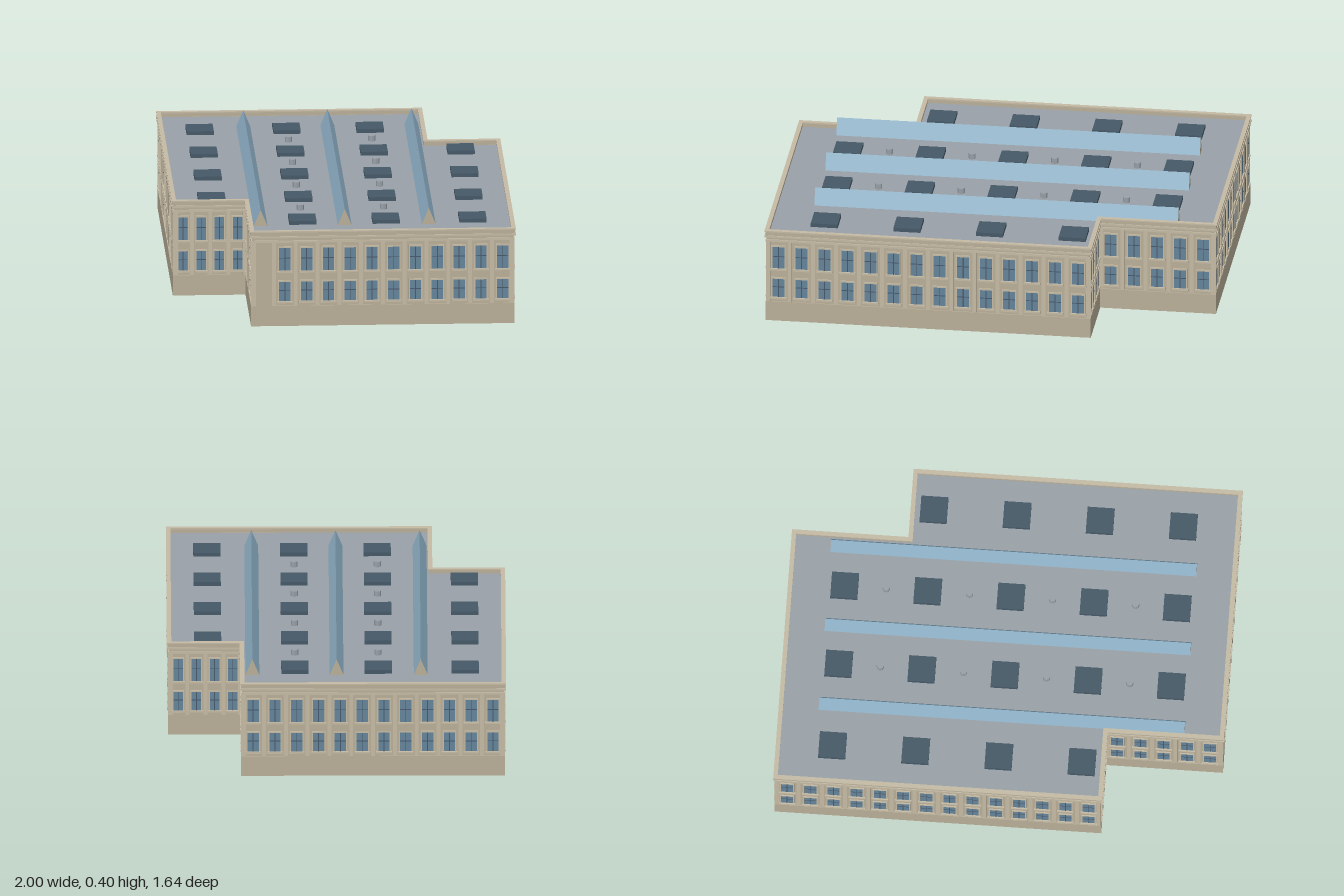
import * as THREE from 'three';
import { mergeGeometries } from 'three/addons/utils/BufferGeometryUtils.js';

const mat = (color) => new THREE.MeshStandardMaterial({ color, flatShading: true });
const stone = mat(0xb8ae98), trim = mat(0xc4baa4), roofMat = mat(0x98a0a7);
const glass = mat(0x64839a), bars = mat(0x46586a), ridgeMat = mat(0x8fb2c8), hatchMat = mat(0x455866);

// Footprint corners, pushed outward by d
const corners = [[-0.796, 0.602], [0.376, 0.602], [0.376, 0.34], [0.796, 0.34],
  [0.796, -0.602], [-0.376, -0.602], [-0.376, -0.34], [-0.796, -0.34]];
const outline = (d) => corners.map(([x, z]) =>
  new THREE.Vector2(x + Math.sign(x) * d, -(z + Math.sign(z) * d)));

// Horizontal slab, or a hollow ring when inner is given
function slab(name, material, d, y0, y1, inner) {
  const shape = new THREE.Shape(outline(d));
  if (inner !== undefined) shape.holes.push(new THREE.Path(outline(inner).reverse()));
  const geo = new THREE.ExtrudeGeometry(shape, { depth: y1 - y0, bevelEnabled: false });
  geo.rotateX(-Math.PI / 2).translate(0, y0, 0);
  const mesh = new THREE.Mesh(geo, material);
  mesh.name = name;
  return mesh;
}

const box = (x, y, z, w, h, d) => new THREE.BoxGeometry(w, h, d).translate(x, y, z);

// Windows, surrounds and pilasters for one wall running from p to q
function facade(p, q, bays, blank) {
  const g = new THREE.Group();
  g.name = 'facade';
  g.position.set(p[0], 0, p[1]);
  g.rotation.y = Math.atan2(p[1] - q[1], q[0] - p[0]);
  const length = Math.hypot(q[0] - p[0], q[1] - p[1]);
  const pitch = length / bays, w = pitch * 0.52;
  const parts = { windowGlass: [], glazingBars: [], stoneTrim: [] };
  for (let i = 0; i <= bays; i++) {
    const px = Math.min(Math.max(i * pitch, 0.007), length - 0.007);
    parts.stoneTrim.push(box(px, 0.193, 0.001, 0.014, 0.236, 0.006));
    if (i === bays || i === blank) continue;
    const x = (i + 0.5) * pitch;
    for (const [y0, y1] of [[0.093, 0.165], [0.206, 0.291]]) {
      const y = (y0 + y1) / 2, h = y1 - y0;
      parts.windowGlass.push(box(x, y, 0, w, h, 0.002));
      parts.glazingBars.push(box(x, y, 0.0005, 0.003, h, 0.003),
        box(x, y0 + h * 0.55, 0.0005, w, 0.003, 0.003));
      for (const s of [-1, 1]) parts.stoneTrim.push(box(x + s * (w / 2 + 0.002), y, 0.001, 0.004, h, 0.005));
      parts.stoneTrim.push(box(x, y0 - 0.004, 0.002, w + 0.016, 0.007, 0.009),
        box(x, y1 + 0.003, 0.001, w + 0.008, 0.006, 0.006));
    }
  }
  const materials = { windowGlass: glass, glazingBars: bars, stoneTrim: trim };
  for (const name in parts) {
    const mesh = new THREE.Mesh(mergeGeometries(parts[name]), materials[name]);
    mesh.name = name;
    g.add(mesh);
  }
  return g;
}

// Long gabled skylight: stone ends, glazed slopes
function skylight(z) {
  const shape = new THREE.Shape([new THREE.Vector2(-0.025, 0), new THREE.Vector2(0.025, 0), new THREE.Vector2(0, 0.06)]);
  const geo = new THREE.ExtrudeGeometry(shape, { depth: 1.32, bevelEnabled: false });
  geo.translate(0, 0, -0.66).rotateY(Math.PI / 2);
  const mesh = new THREE.Mesh(geo, [stone, ridgeMat]);
  mesh.name = 'ridgeSkylight';
  mesh.position.set(0, 0.335, z);
  return mesh;
}

export function createModel() {
  const model = new THREE.Group();
  model.name = 'building';
  const body = new THREE.Group();
  body.name = 'rotatedBlock';
  body.rotation.y = -0.7995;
  model.add(body);

  // Walls, plinth, roof, mouldings and parapet
  body.add(
    slab('walls', stone, 0, 0.01, 0.33),
    slab('plinth', stone, 0.004, 0, 0.075),
    slab('roof', roofMat, -0.004, 0.32, 0.335),
    slab('frieze', trim, 0.004, 0.311, 0.319, -0.002),
    slab('cornice', trim, 0.008, 0.329, 0.336, -0.004),
    slab('parapet', stone, 0.005, 0.336, 0.35, -0.006),
    slab('coping', trim, 0.008, 0.35, 0.355, -0.008));

  // Bay counts per wall; the second wing end has one blank bay
  const bays = [14, 4, 5, 12, 14, 4, 5, 12];
  corners.forEach((p, i) => body.add(facade(p, corners[(i + 1) % 8], bays[i], i === 3 ? 0 : -1)));

  for (const z of [-0.303, 0, 0.303]) body.add(skylight(z));

  // Square roof lights, skipping the two notched corners
  for (const x of [-0.6, -0.3, 0, 0.3, 0.6]) {
    for (const z of [-0.463, -0.15, 0.15, 0.463]) {
      if (Math.abs(x) > 0.5 && Math.abs(z) > 0.4 && x * z > 0 === true) continue;
      const light = new THREE.Mesh(box(0, 0, 0, 0.098, 0.016, 0.098), hatchMat);
      light.name = 'roofLight';
      light.position.set(x, 0.341, z);
      body.add(light);
    }
  }

  // Small round vents
  for (const x of [-0.45, -0.15, 0.15, 0.45]) {
    for (const z of [-0.15, 0.15]) {
      const vent = new THREE.Mesh(new THREE.CylinderGeometry(0.013, 0.013, 0.02, 8), roofMat);
      vent.name = 'roofVent';
      vent.position.set(x, 0.345, z);
      body.add(vent);
    }
  }
  return model;
}
